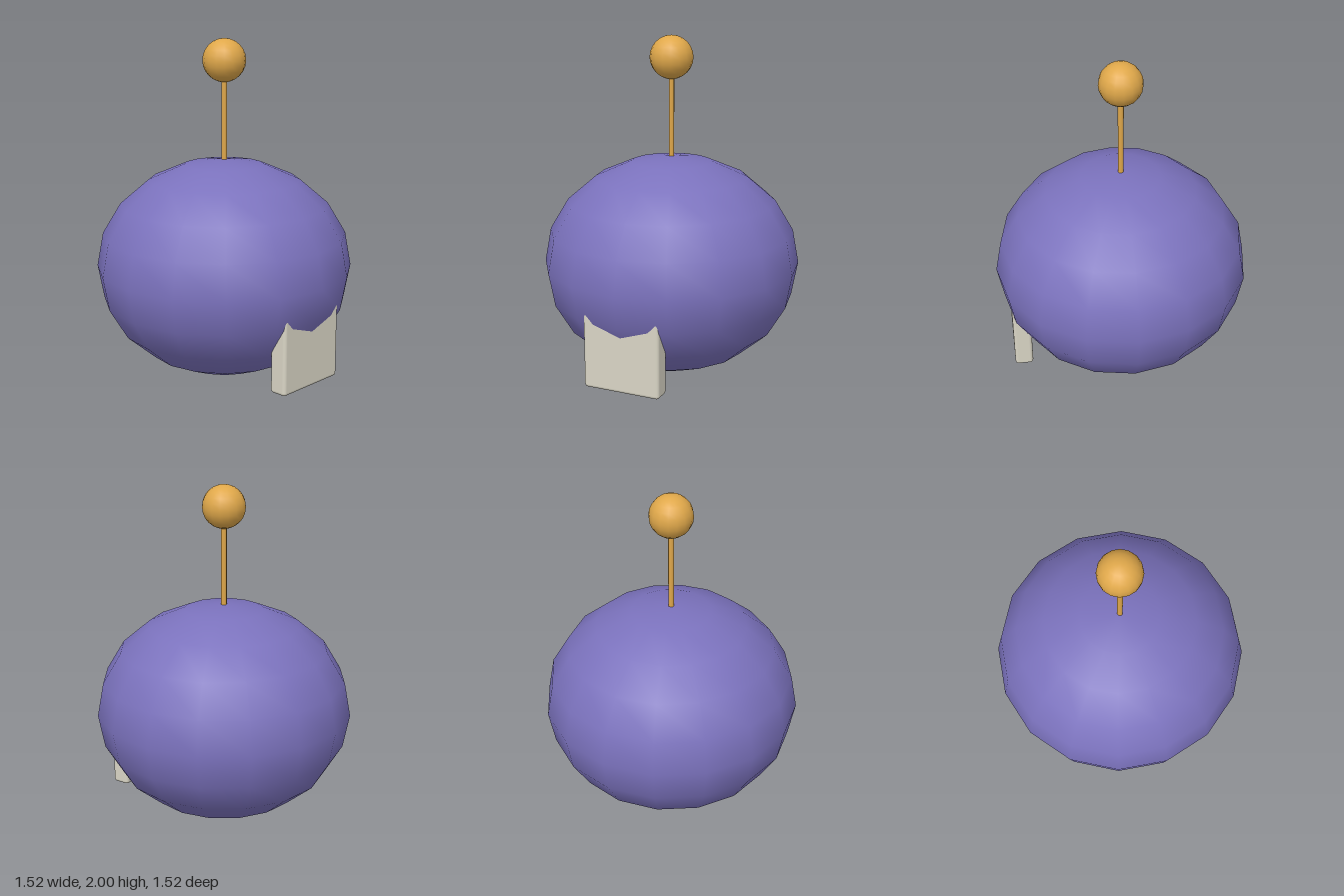
import * as THREE from 'three';
import { RoundedBoxGeometry } from 'three/addons/geometries/RoundedBoxGeometry.js';

const material = (color) => new THREE.MeshStandardMaterial({ color });

export function createModel() {
  const model = new THREE.Group();
  const purple = material(0x7b72bd);
  const gold = material(0xe0a84a);
  const cream = material(0xd9d5c5);

  const add = (name, geometry, mat, x, y, z) => {
    const mesh = new THREE.Mesh(geometry, mat);
    mesh.name = name;
    mesh.position.set(x, y, z);
    model.add(mesh);
    return mesh;
  };

  // Squashed round body with a coarse outline
  const body = new THREE.SphereGeometry(0.762, 16, 10);
  body.scale(1, 0.85, 1);
  add('body', body, purple, 0, 0.648, 0);

  // Thin stalk, its ends sunk into the body and the ball
  add('antennaRod', new THREE.CylinderGeometry(0.017, 0.017, 0.56, 8), gold, 0, 1.53, 0);
  add('antennaBall', new THREE.SphereGeometry(0.127, 16, 12), gold, 0, 1.873, 0);

  // Rounded plate low on the front, its top buried in the body
  add('frontPlate', new RoundedBoxGeometry(0.466, 0.46, 0.11, 3, 0.02), cream, 0, 0.292, 0.636);

  return model;
}
